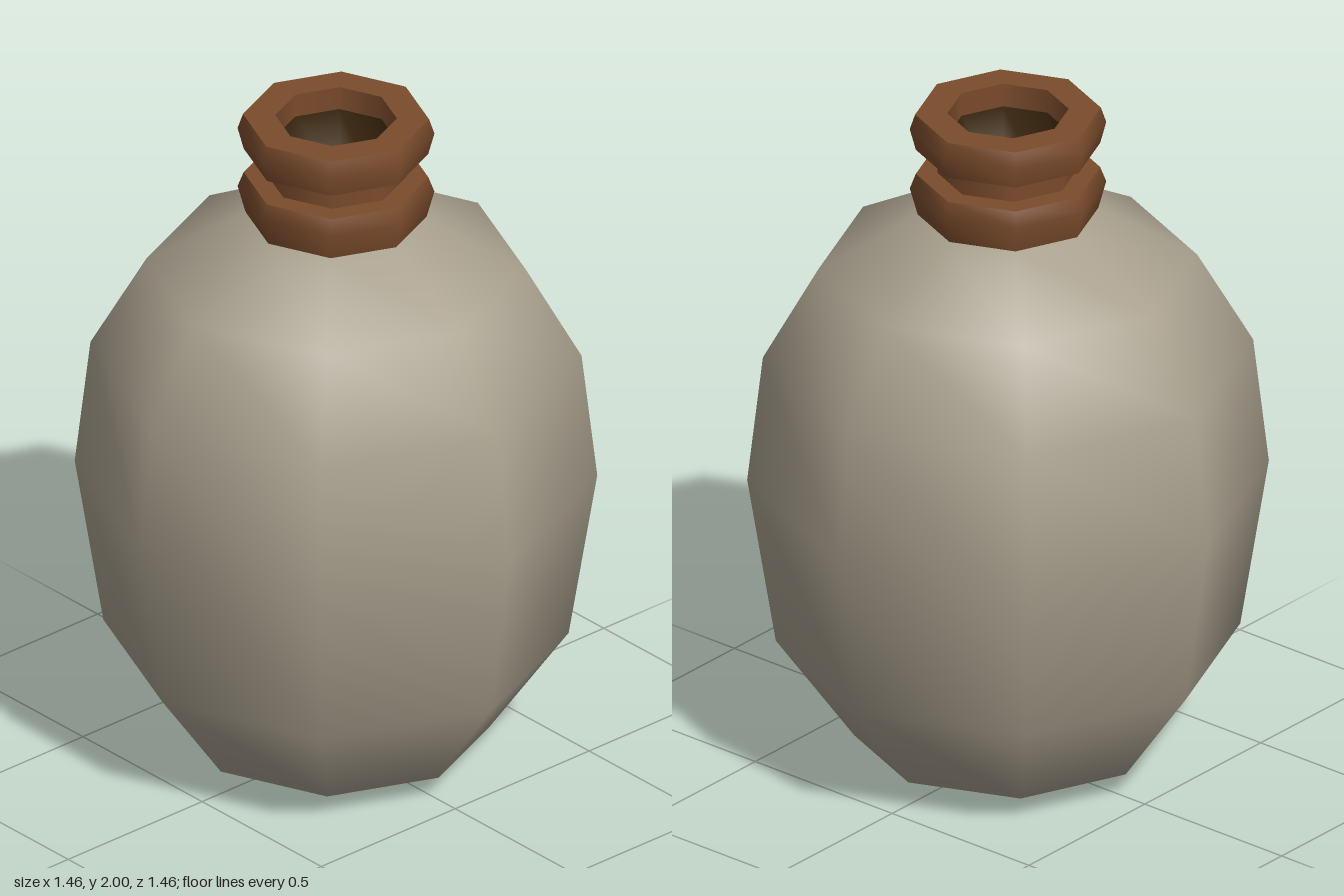
import * as THREE from 'three';

const SIDES = 8;

export function createModel() {
  const clay = new THREE.MeshStandardMaterial({ color: 0xa89f8d });
  clay.name = 'stone grey clay';
  const leather = new THREE.MeshStandardMaterial({ color: 0x7a4b2c });
  leather.name = 'brown neck';
  const dark = new THREE.MeshStandardMaterial({ color: 0x3d2810 });
  dark.name = 'dark interior';

  const model = new THREE.Group();
  model.name = 'flask';

  // Turned part: each profile is smooth, separate profiles meet in hard edges
  function turned(name, material, profiles, parent = model) {
    const group = new THREE.Group();
    group.name = name;
    for (const profile of profiles) {
      const points = profile.map(([r, y]) => new THREE.Vector2(r, y));
      const mesh = new THREE.Mesh(new THREE.LatheGeometry(points, SIDES), material);
      mesh.name = name + 'Surface';
      group.add(mesh);
    }
    parent.add(group);
  }

  // Rounded body with a small flat foot
  turned('body', clay, [[
    [0, 0], [0.29, 0.003], [0.43, 0.07], [0.65, 0.375], [0.73, 0.88],
    [0.686, 1.26], [0.53, 1.53], [0.25, 1.69], [0.19, 1.7],
  ]]);

  // Lower collar
  turned('lowerCollar', leather, [
    [[0.19, 1.685], [0.252, 1.685]],
    [[0.252, 1.685], [0.275, 1.77], [0.258, 1.815]],
    [[0.258, 1.815], [0.19, 1.815]],
  ]);

  // Narrow neck between the collars
  turned('neck', leather, [[[0.197, 1.8], [0.197, 1.9]]]);

  // Upper collar with an open mouth
  turned('mouthRim', leather, [
    [[0.19, 1.89], [0.258, 1.89]],
    [[0.258, 1.89], [0.275, 1.955], [0.26, 2]],
    [[0.26, 2], [0.17, 2]],
    [[0.17, 2], [0.17, 1.93]],
  ]);

  // Dark inside of the mouth
  turned('mouthInterior', dark, [[[0.17, 1.93], [0.16, 1.7], [0, 1.66]]]);

  return model;
}
